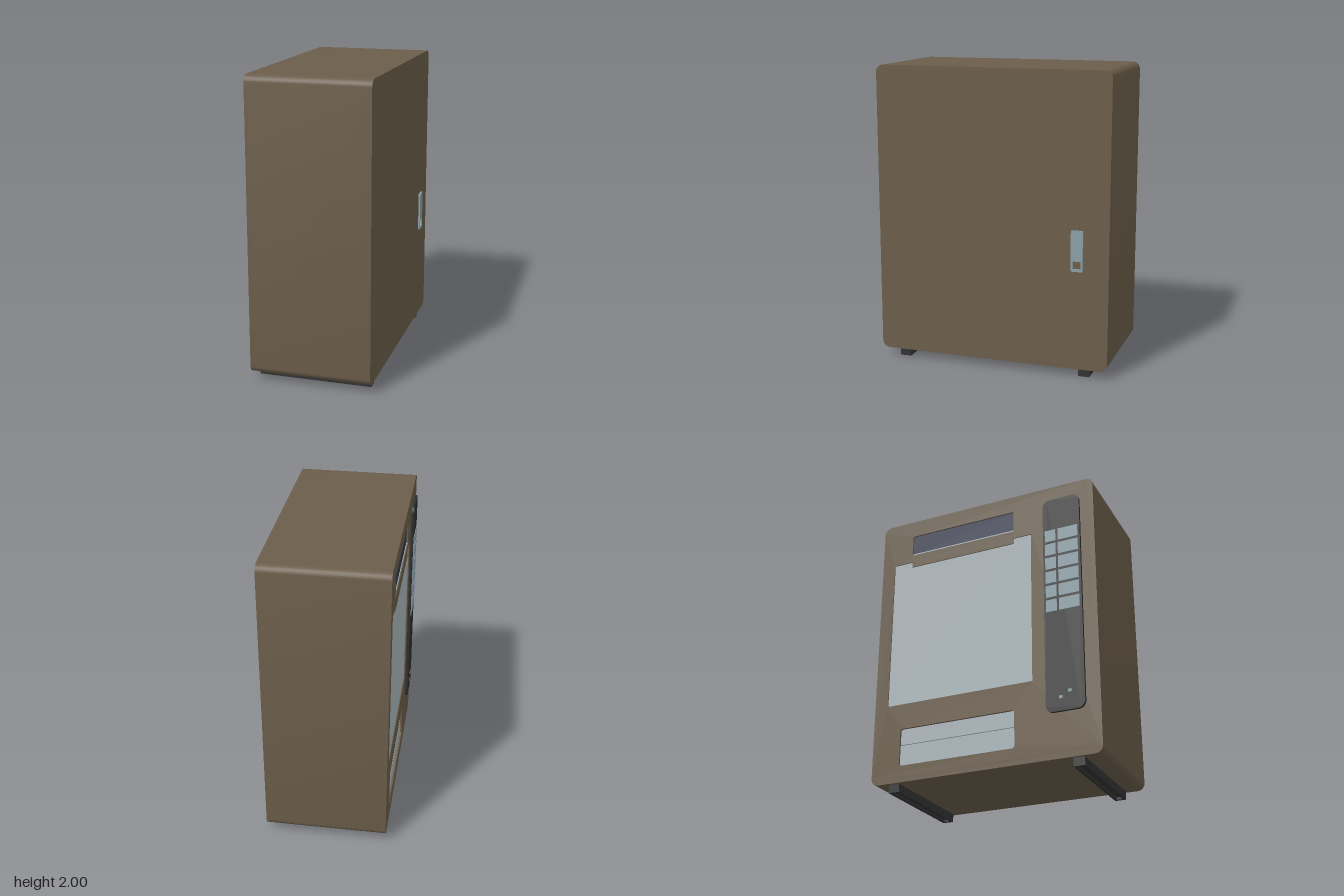
import * as THREE from 'three';
import { toCreasedNormals } from 'three/addons/utils/BufferGeometryUtils.js';

const mat = (name, color) => {
  const m = new THREE.MeshStandardMaterial({ color });
  m.name = name;
  return m;
};

// Rounded rectangle in the (z, y) plane; works for both shapes and holes
function roundRect(z0, y0, z1, y1, r, Type = THREE.Shape) {
  const s = new Type();
  s.moveTo(z0 + r, y0);
  s.lineTo(z1 - r, y0);
  s.absarc(z1 - r, y0 + r, r, -Math.PI / 2, 0);
  s.lineTo(z1, y1 - r);
  s.absarc(z1 - r, y1 - r, r, 0, Math.PI / 2);
  s.lineTo(z0 + r, y1);
  s.absarc(z0 + r, y1 - r, r, Math.PI / 2, Math.PI);
  s.lineTo(z0, y0 + r);
  s.absarc(z0 + r, y0 + r, r, Math.PI, Math.PI * 1.5);
  return s;
}

// Extrude a (z, y) outline along x, from xMin to xMax
function slab(shape, xMin, xMax) {
  const g = new THREE.ExtrudeGeometry(shape, { depth: xMax - xMin, bevelEnabled: false, curveSegments: 8 });
  g.rotateY(-Math.PI / 2);
  g.translate(xMax, 0, 0);
  return toCreasedNormals(g, 0.6);
}

export function createModel() {
  const group = new THREE.Group();
  const brown = mat('brown cabinet paint', 0x6b5d4a);
  const glass = mat('pale window', 0xaab5ba);
  const steel = mat('blue grey steel', 0x8a9fa7);
  const black = mat('black panel', 0x2e2e2e);
  const rubber = mat('dark foot', 0x333333);
  const navy = mat('navy display', 0x30364f);

  const add = (name, geo, material) => {
    const m = new THREE.Mesh(geo, material);
    m.name = name;
    group.add(m);
    return m;
  };
  const box = (name, material, x0, x1, y0, y1, z0, z1) => {
    const g = new THREE.BoxGeometry(x1 - x0, y1 - y0, z1 - z0);
    g.translate((x0 + x1) / 2, (y0 + y1) / 2, (z0 + z1) / 2);
    return add(name, g, material);
  };

  // Cabinet core, and a fascia with openings on the vending side
  const outline = () => roundRect(-0.795, 0.055, 0.795, 2, 0.05);
  const face = -0.4, back = -0.38;
  add('cabinet', slab(outline(), back, 0.405), brown);

  const fascia = outline();
  const windowHole = new THREE.Path([
    [-0.7, 0.595], [0.345, 0.595], [0.345, 1.67], [0.215, 1.67],
    [0.215, 1.63], [-0.56, 1.63], [-0.56, 1.67], [-0.7, 1.67],
  ].map(([z, y]) => new THREE.Vector2(z, y)));
  fascia.holes.push(
    windowHole,
    roundRect(-0.56, 1.725, 0.22, 1.88, 0.008, THREE.Path),
    roundRect(-0.595, 0.167, 0.22, 0.42, 0.02, THREE.Path),
  );
  add('fascia', slab(fascia, face, back), brown);

  // Window, sign display and delivery flap set into the openings
  box('window', glass, -0.394, back, 0.595, 1.67, -0.7, 0.345);
  box('signDisplay', navy, -0.39, back, 1.725, 1.88, -0.56, 0.22);
  box('signTrim', glass, -0.394, back, 1.725, 1.737, -0.56, 0.22);
  box('deliveryFlapLower', glass, -0.388, back, 0.167, 0.307, -0.595, 0.22);
  box('deliveryFlapUpper', glass, -0.386, back, 0.312, 0.42, -0.595, 0.22);

  // Control panel with two columns of buttons
  add('controlPanel', slab(roundRect(0.44, 0.355, 0.7, 1.89, 0.05), -0.418, face), black);
  for (let row = 0; row < 6; row++) {
    const y = 1.045 + row * 0.104;
    box('labelButton', steel, -0.422, -0.416, y, y + 0.086, 0.455, 0.53);
    box('selectionButton', steel, -0.422, -0.416, y, y + 0.086, 0.545, 0.685);
  }

  // Coin slot and return button
  box('coinSlot', steel, -0.422, -0.416, 0.47, 0.49, 0.59, 0.615);
  box('returnButton', steel, -0.422, -0.416, 0.435, 0.455, 0.53, 0.555);

  // Latch on the far side: solid plate above an open pull
  const latch = roundRect(-0.625, 0.715, -0.545, 0.985, 0.006);
  latch.holes.push(roundRect(-0.612, 0.732, -0.558, 0.783, 0.004, THREE.Path));
  add('latch', slab(latch, 0.405, 0.417), steel);

  // Feet: long rails with a sunken underside
  for (const side of [-1, 1]) {
    const zc = side * 0.635;
    box('footRail', rubber, -0.38, 0.38, 0.018, 0.056, zc - 0.0375, zc + 0.0375);
    for (const edge of [-1, 1]) {
      const z = zc + edge * 0.029;
      box('footLip', rubber, -0.38, 0.38, 0, 0.018, z - 0.0085, z + 0.0085);
      box('footEnd', rubber, edge * 0.37 - 0.01, edge * 0.37 + 0.01, 0, 0.018, zc - 0.0205, zc + 0.0205);
    }
  }

  return group;
}
